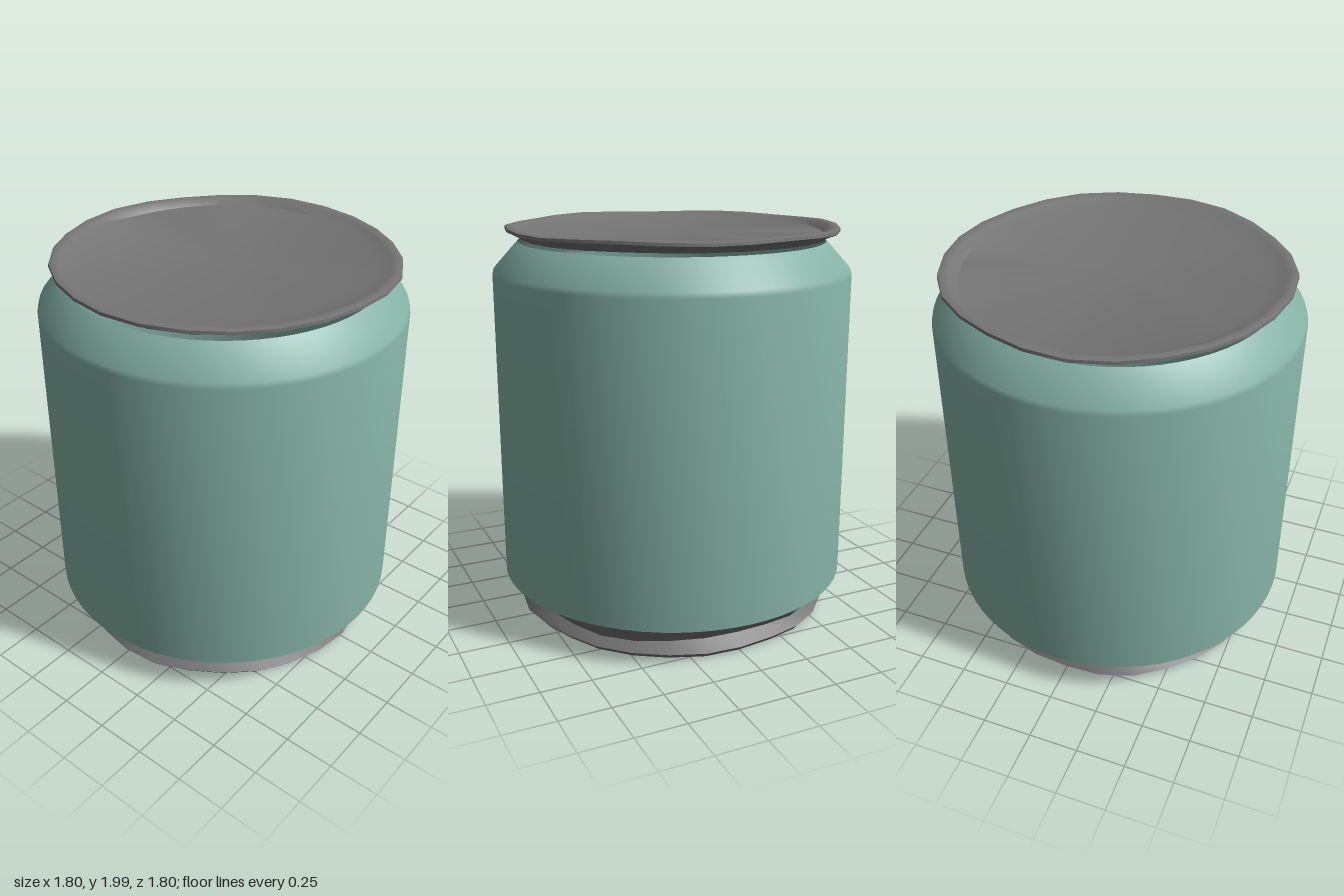
import * as THREE from 'three';
import { toCreasedNormals } from 'three/addons/utils/BufferGeometryUtils.js';

// Lathe from [radius, y] pairs, listed bottom to top on the outside.
// warp(v, angle, radius) may nudge each vertex to give a crumpled look.
function turned(profile, sides, crease, warp) {
  const geo = new THREE.LatheGeometry(profile.map(([r, y]) => new THREE.Vector2(r, y)), sides);
  const pos = geo.attributes.position;
  const v = new THREE.Vector3();
  if (warp) {
    for (let i = 0; i < pos.count; i++) {
      v.fromBufferAttribute(pos, i);
      warp(v, Math.atan2(v.x, v.z), Math.hypot(v.x, v.z));
      pos.setXYZ(i, v.x, v.y, v.z);
    }
  }
  return toCreasedNormals(geo, crease);
}

export function createModel() {
  const green = new THREE.MeshStandardMaterial({ color: 0x86b3a6, side: THREE.DoubleSide });
  green.name = 'painted green';
  const grey = new THREE.MeshStandardMaterial({ color: 0x757575, side: THREE.DoubleSide });
  grey.name = 'dull metal grey';

  const can = new THREE.Group();
  can.name = 'can';
  const add = (name, geo, mat) => {
    const mesh = new THREE.Mesh(geo, mat);
    mesh.name = name;
    can.add(mesh);
  };

  // Painted sleeve: straight wall with a sloped shoulder, open at both ends
  add('body', turned([
    [0.9, 0.2], [0.9, 1.76], [0.893, 1.785], [0.785, 1.905], [0.77, 1.92],
  ], 64, 0.6), green);

  // Foot: flares up to meet the wall, pinched above a dented bottom rim
  add('base', turned([
    [0, 0.01], [0.79, 0.01], [0.812, 0.035], [0.77, 0.085], [0.868, 0.188],
  ], 28, 0.7, (v, a, r) => {
    if (r < 0.1 || v.y > 0.15) return;
    const k = 1 + 0.008 * Math.sin(5 * a + 1) + 0.006 * Math.sin(9 * a);
    v.x *= k;
    v.z *= k;
    // Dent in the front of the pinch
    if (v.y > 0.05 && Math.abs(a - 0.1) < 0.15) v.z -= 0.02;
    if (v.y > 0.05) v.y += 0.012 * Math.sin(4 * a + 2);
  }), grey);

  // Lid: flared rim around a slightly sunken, off-centre panel
  add('lid', turned([
    [0, 1.937], [0.765, 1.937], [0.785, 1.952], [0.838, 1.975], [0.836, 1.99],
    [0.812, 1.996], [0.785, 1.988], [0.725, 1.962], [0, 1.962],
  ], 26, 0.6, (v, a, r) => {
    if (r < 0.1) return;
    const k = 1 + 0.007 * Math.sin(4 * a + 0.5) + 0.006 * Math.sin(7 * a);
    v.x *= k;
    v.z = v.z * k - 0.012;
    if (v.y > 1.97) v.y += 0.004 * Math.sin(6 * a);
    if (r < 0.74) {
      v.x -= 0.025;
      v.z -= 0.015;
    }
  }), grey);

  return can;
}
